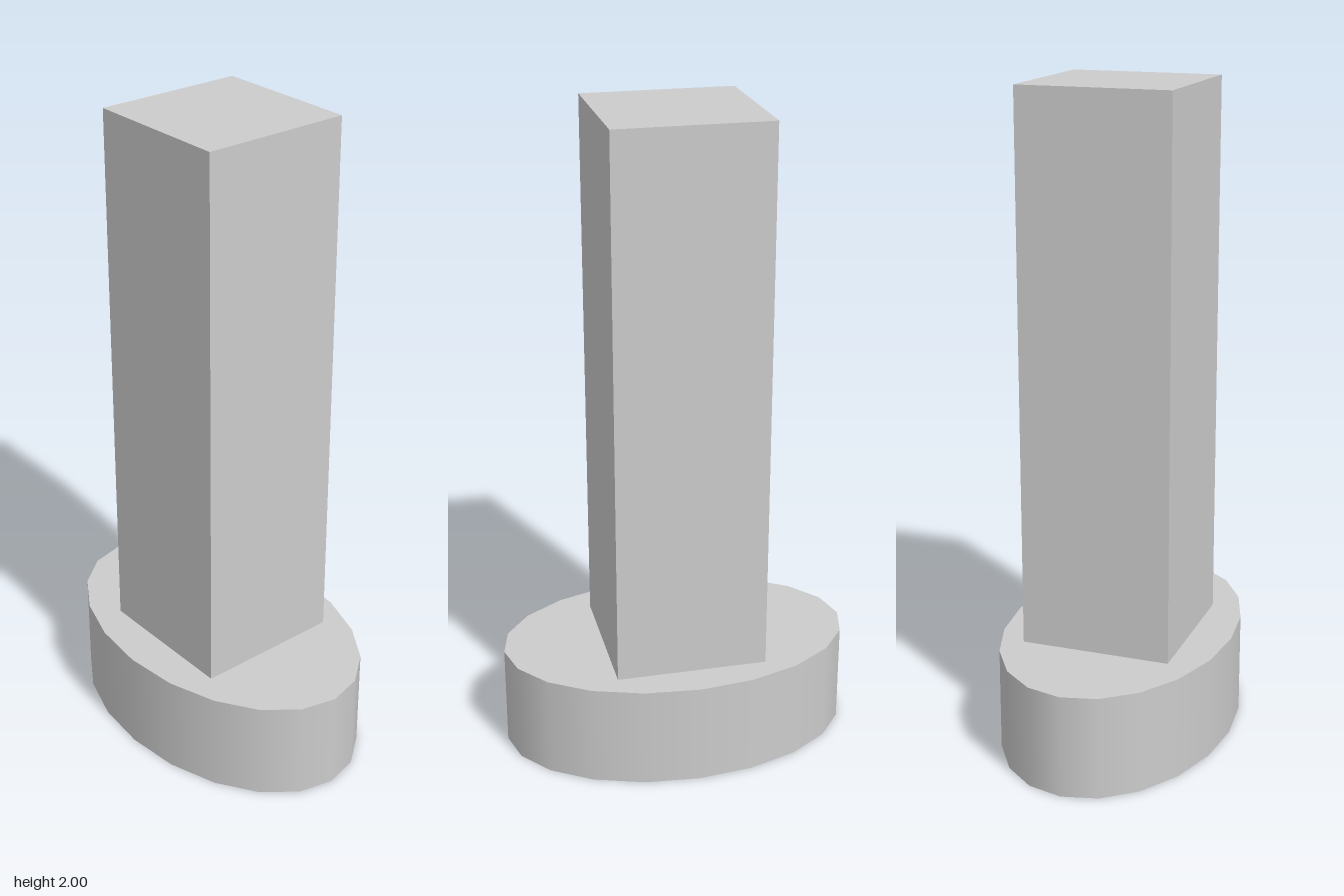
import * as THREE from 'three';

export function createModel() {
  const group = new THREE.Group();
  const grey = new THREE.MeshStandardMaterial({ color: 0xcccccc });
  const baseHeight = 0.318;
  const columnWidth = 0.464;
  const columnHeight = 2 - baseHeight;

  // Oval base: a smooth 20-sided cylinder, squashed in depth
  const baseGeometry = new THREE.CylinderGeometry(1, 1, baseHeight, 20);
  baseGeometry.scale(0.544, 1, 0.351);
  const base = new THREE.Mesh(baseGeometry, grey);
  base.name = 'ovalBase';
  base.position.y = baseHeight / 2;
  group.add(base);

  // Square column, set slightly back on the base
  const column = new THREE.Mesh(new THREE.BoxGeometry(columnWidth, columnHeight, columnWidth), grey);
  column.name = 'squareColumn';
  column.position.set(-0.001, baseHeight + columnHeight / 2, -0.009);
  group.add(column);

  return group;
}
